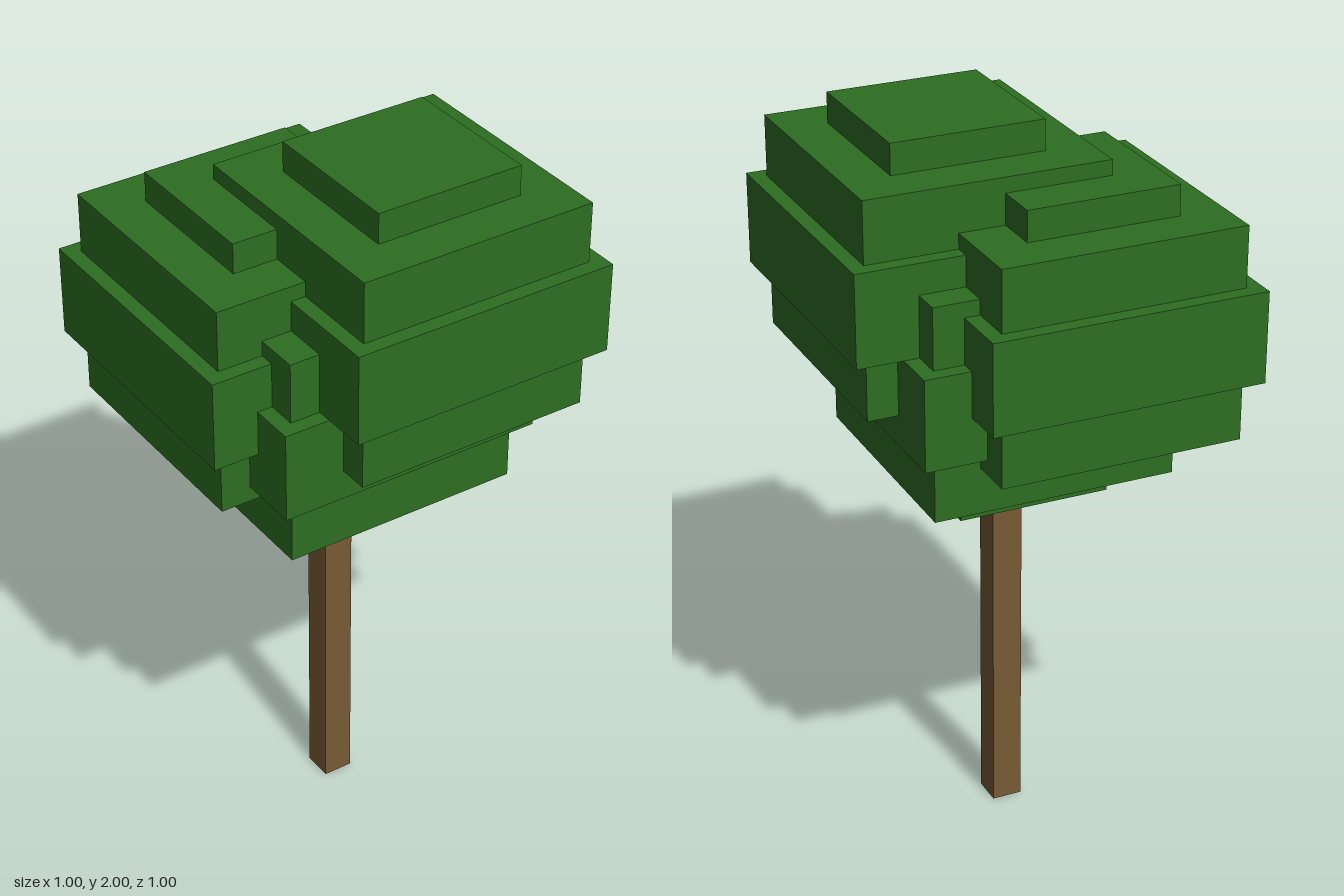
import * as THREE from 'three';

const U = 1 / 24; // block grid unit

export function createModel() {
  const leafGreen = new THREE.MeshStandardMaterial({ name: 'leafGreen', color: 0x2d6e22 });
  const barkBrown = new THREE.MeshStandardMaterial({ name: 'barkBrown', color: 0x785a34 });

  // Square block, given by half width and vertical span in grid units
  function block(name, half, y0, y1, material) {
    const geometry = new THREE.BoxGeometry(2 * half * U, (y1 - y0) * U, 2 * half * U);
    const mesh = new THREE.Mesh(geometry, material);
    mesh.name = name;
    mesh.position.y = (y0 + y1) / 2 * U;
    return mesh;
  }

  // Stepped leaf cluster: stacked slabs, widest in the middle
  const slabs = [
    [5, 0, 2], [8, 2, 6], [9, 6, 12], [8, 12, 16], [5, 16, 18],
  ];
  function leafCluster(name, offset, base) {
    const cluster = new THREE.Group();
    cluster.name = name;
    cluster.position.set(offset * U, base * U, offset * U);
    slabs.forEach(([half, y0, y1], i) => {
      cluster.add(block(`leafSlab${i + 1}`, half, y0, y1, leafGreen));
    });
    return cluster;
  }

  const tree = new THREE.Group();
  tree.name = 'tree';
  tree.add(
    block('trunk', 1, 0, 24, barkBrown),
    leafCluster('lowerLeaves', 0, 24),
    leafCluster('backLeaves', -3, 27),
    leafCluster('frontLeaves', 3, 30),
  );
  return tree;
}
